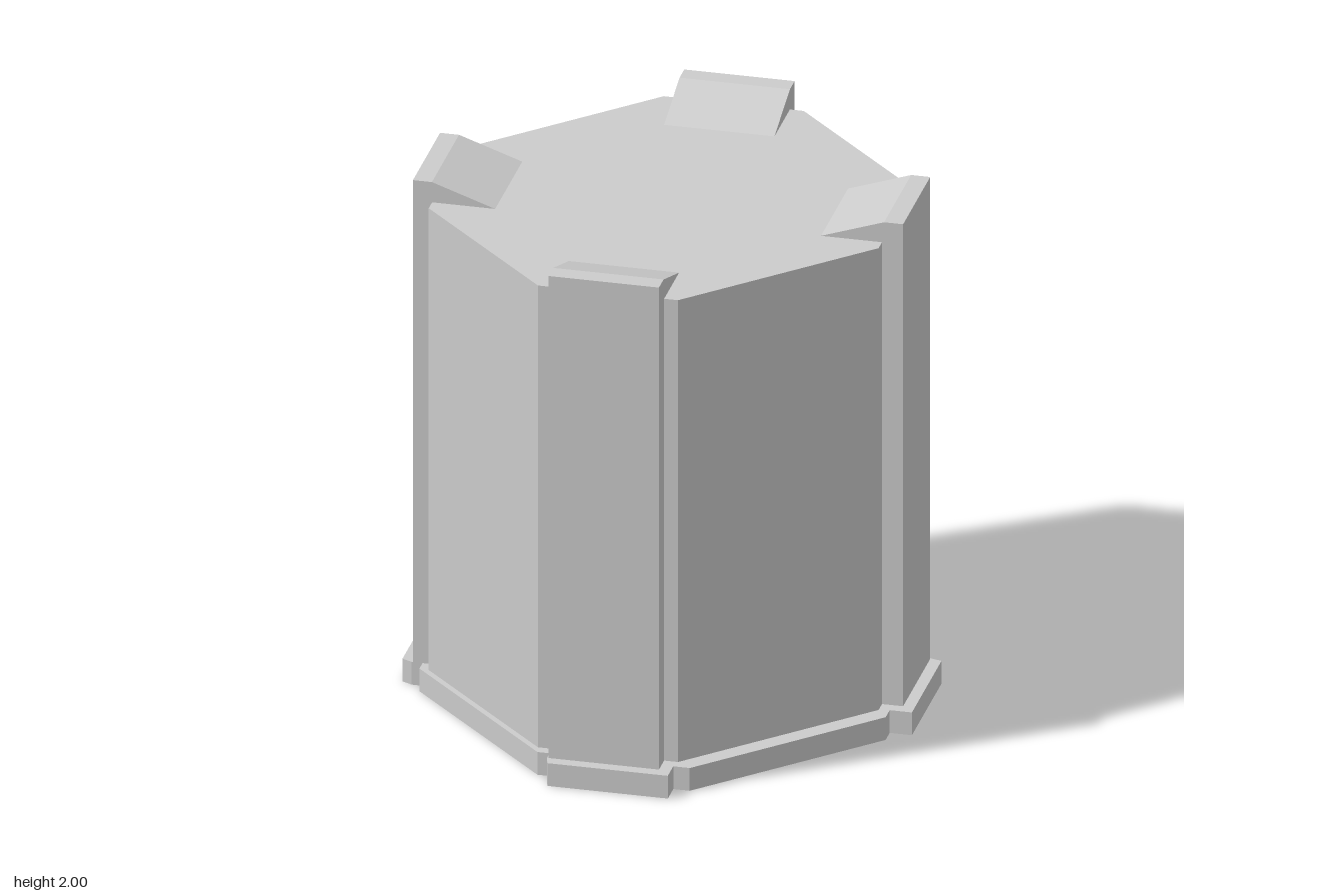
import * as THREE from 'three';

const material = new THREE.MeshStandardMaterial({ color: 0xcccccc, flatShading: true });

function part(name, geometry) {
  const mesh = new THREE.Mesh(geometry, material);
  mesh.name = name;
  return mesh;
}

// Vertical prism from an outline of [x, z] points
function prism(name, outline, height) {
  const shape = new THREE.Shape(outline.map(([x, z]) => new THREE.Vector2(x, -z)));
  const geometry = new THREE.ExtrudeGeometry(shape, { depth: height, bevelEnabled: false });
  return part(name, geometry.rotateX(-Math.PI / 2));
}

// Octagon from the right half of its outline, mirrored across x
const mirrorOutline = (half) => [...half, ...half.map(([x, z]) => [-x, z]).reverse()];

export function createModel() {
  const group = new THREE.Group();
  const baseHeight = 0.09, topY = 1.92;

  // Eight-sided body and the slightly wider plinth around its foot
  group.add(prism('body', mirrorOutline([[0.42, -0.75], [0.785, -0.385], [0.785, 0.37], [0.42, 0.735]]), topY));
  group.add(prism('plinth', mirrorOutline([[0.41, -0.81], [0.807, -0.413], [0.807, 0.403], [0.41, 0.8]]), baseHeight));

  // Side profile of a corner pillar: flat crest, then a ramp down to the body top
  const profile = new THREE.Shape([[0, 0], [0, 2], [-0.07, 2], [-0.303, topY], [-0.303, 0]]
    .map(([u, y]) => new THREE.Vector2(u, y)));
  const width = 0.407;

  for (const sx of [1, -1]) {
    for (const sz of [1, -1]) {
      const side = (sz > 0 ? 'front' : 'back') + (sx > 0 ? 'Left' : 'Right');

      const pillar = part(side + 'Pillar',
        new THREE.ExtrudeGeometry(profile, { depth: width, bevelEnabled: false }).translate(0, 0, -width / 2));
      pillar.rotation.y = Math.atan2(-sz, sx);
      pillar.position.set(sx * 0.655, 0, sz > 0 ? 0.61 : -0.615);
      group.add(pillar);

      // Pillar foot, clipped at its outer side corner
      const foot = sz > 0
        ? [[0.511, 0.815], [0.825, 0.501], [0.803, 0.462], [0.6, 0.259], [0.3, 0.604]]
        : [[0.511, -0.82], [0.816, -0.515], [0.802, -0.475], [0.6, -0.273], [0.3, -0.609]];
      group.add(prism(side + 'Foot', foot.map(([x, z]) => [sx * x, z]), baseHeight));
    }
  }
  return group;
}
